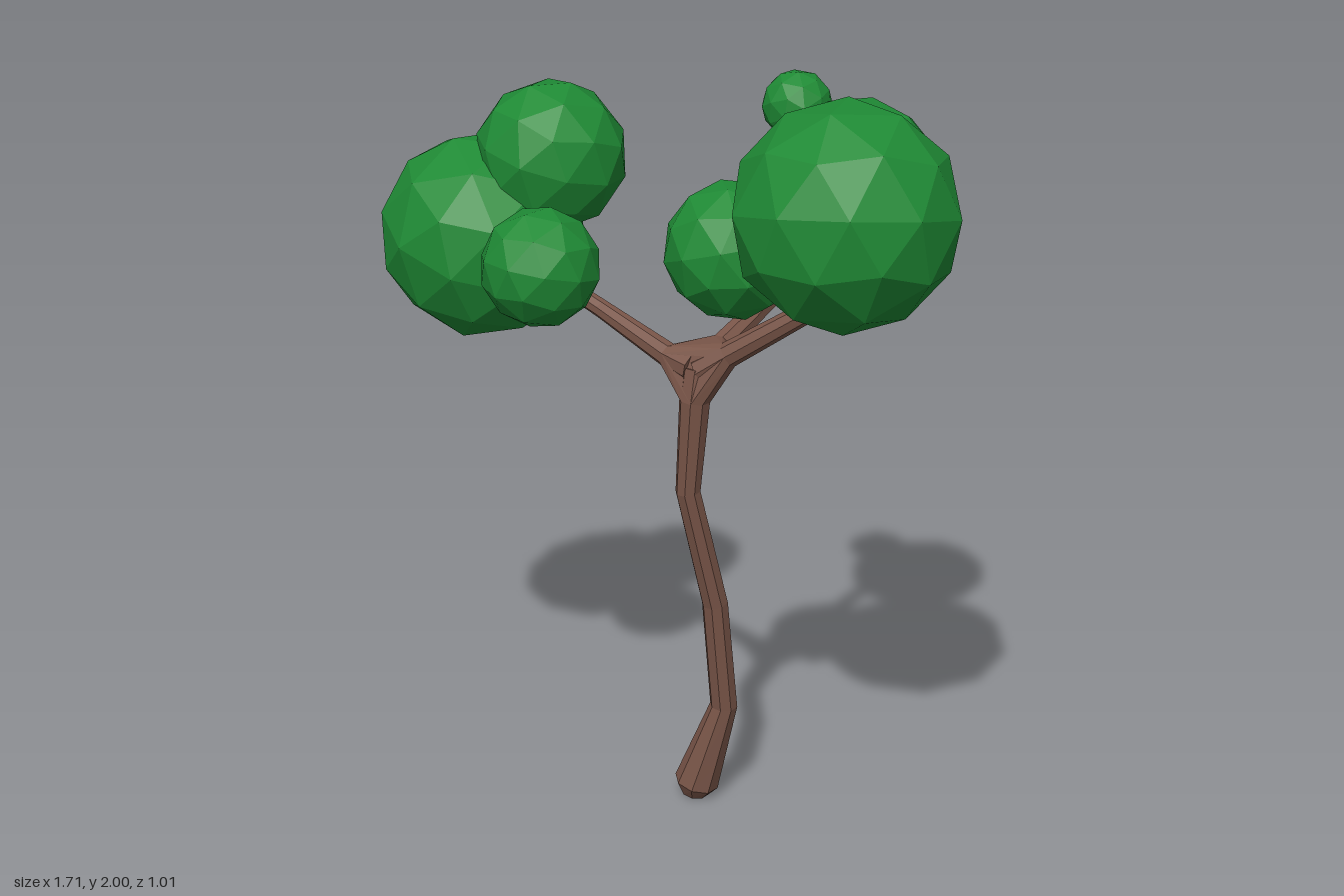
import * as THREE from 'three';
import { ConvexGeometry } from 'three/addons/geometries/ConvexGeometry.js';

const SIDES = 8;
const bark = new THREE.MeshStandardMaterial({ color: 0x795548, flatShading: true });
const leaf = new THREE.MeshStandardMaterial({ color: 0x1f8a35, flatShading: true });

// Rings of points around a path of [x, y, z, radius] stations
function makeRings(path) {
  const pts = path.map(([x, y, z]) => new THREE.Vector3(x, y, z));
  let side = new THREE.Vector3(1, 0, 0);
  return path.map((station, i) => {
    const a = pts[Math.max(i - 1, 0)], b = pts[Math.min(i + 1, pts.length - 1)];
    const dir = b.clone().sub(a).normalize();
    if (Math.abs(side.dot(dir)) > 0.8) side = new THREE.Vector3(0, 1, 0);
    side = side.clone().addScaledVector(dir, -side.dot(dir)).normalize();
    const up = dir.clone().cross(side);
    return Array.from({ length: SIDES }, (_, k) => {
      const t = ((k + 0.5) / SIDES) * Math.PI * 2;
      return pts[i].clone()
        .addScaledVector(side, Math.cos(t) * station[3])
        .addScaledVector(up, Math.sin(t) * station[3]);
    });
  });
}

// Closed faceted limb skinned over its rings
function makeLimb(name, path) {
  const rings = makeRings(path);
  const verts = rings.flat();
  const index = [];
  for (let i = 0; i < rings.length - 1; i++) {
    for (let k = 0; k < SIDES; k++) {
      const n = (k + 1) % SIDES;
      const a = i * SIDES + k, b = i * SIDES + n;
      index.push(a, b, b + SIDES, a, b + SIDES, a + SIDES);
    }
  }
  const last = (rings.length - 1) * SIDES;
  for (let k = 1; k < SIDES - 1; k++) {
    index.push(0, k + 1, k, last, last + k, last + k + 1);
  }
  const geometry = new THREE.BufferGeometry().setFromPoints(verts);
  geometry.setIndex(index);
  geometry.computeVertexNormals();
  const mesh = new THREE.Mesh(geometry, bark);
  mesh.name = name;
  return { mesh, rings };
}

export function createModel() {
  const tree = new THREE.Group();
  tree.name = 'tree';

  // Crooked trunk with a swollen, rounded foot
  const trunk = makeLimb('trunk', [
    [0.055, 0.015, 0.083, 0.036], [0.06, 0.05, 0.082, 0.06], [0.085, 0.13, 0.075, 0.052],
    [0.133, 0.29, 0.06, 0.037], [0.131, 0.6, 0.1, 0.035], [0.1, 0.93, 0.178, 0.033],
    [0.122, 1.18, 0.18, 0.04], [0.124, 1.26, 0.165, 0.04],
  ]);

  // Three branches, thick at the fork and bent near their tips
  const leftless = makeLimb('rightBranch', [
    [0.11, 1.262, 0.17, 0.04], [0.03, 1.278, 0.165, 0.032],
    [-0.2, 1.352, 0.135, 0.024], [-0.38, 1.41, 0.12, 0.022],
  ]);
  const left = makeLimb('leftBranch', [
    [0.13, 1.255, 0.165, 0.04], [0.2, 1.305, 0.145, 0.033],
    [0.4, 1.44, 0.09, 0.027], [0.45, 1.52, 0.105, 0.025], [0.5, 1.6, 0.14, 0.02],
  ]);
  const back = makeLimb('backBranch', [
    [0.128, 1.265, 0.15, 0.04], [0.134, 1.3, 0.08, 0.032],
    [0.147, 1.42, -0.255, 0.025], [0.17, 1.48, -0.28, 0.024], [0.2, 1.55, -0.29, 0.02],
  ]);

  // Webbed fork: hull over the trunk top and the branch roots
  const fork = new THREE.Mesh(new ConvexGeometry([
    ...trunk.rings[6], ...leftless.rings[1], ...left.rings[1], ...back.rings[1],
  ]), bark);
  fork.name = 'fork';
  tree.add(trunk.mesh, leftless.mesh, left.mesh, back.mesh, fork);

  // Faceted leaf clusters: name, x, y, z, radius
  [
    ['rightLargeFoliage', -0.592, 1.488, 0.125, 0.275],
    ['rightUpperFoliage', -0.418, 1.71, 0.055, 0.2],
    ['rightFrontFoliage', -0.28, 1.485, 0.284, 0.155],
    ['leftLargeFoliage', 0.587, 1.738, 0.235, 0.277],
    ['leftInnerFoliage', 0.273, 1.608, 0.235, 0.171],
    ['backFoliage', 0.297, 1.67, -0.297, 0.217],
    ['backTopFoliage', 0.125, 1.85, -0.275, 0.092],
  ].forEach(([name, x, y, z, r], i) => {
    const cluster = new THREE.Mesh(new THREE.IcosahedronGeometry(r, 1), leaf);
    cluster.name = name;
    cluster.position.set(x, y, z);
    cluster.rotation.set(0.2, 0.35 + i * 0.5, 0.15);
    tree.add(cluster);
  });

  return tree;
}
